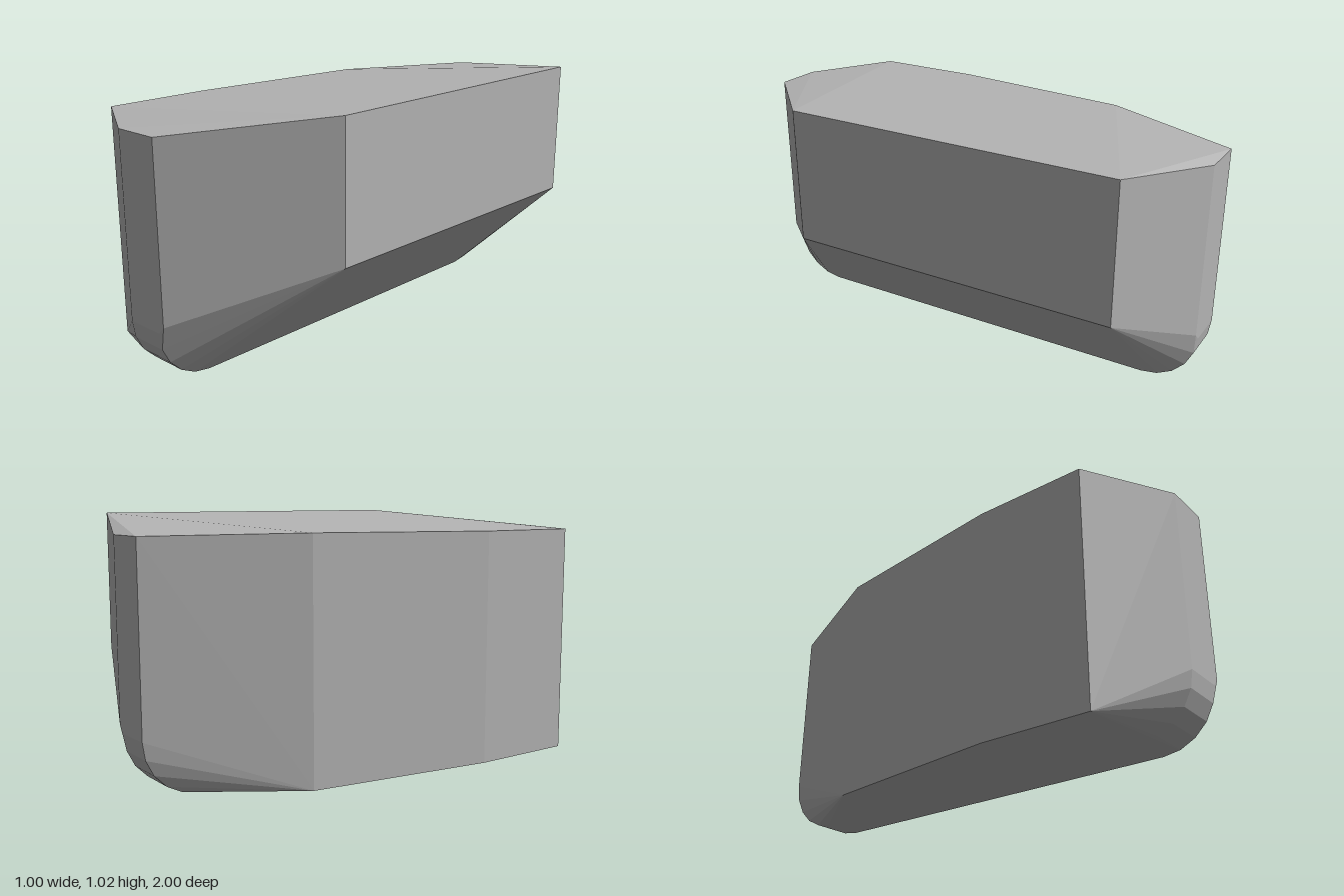
import * as THREE from 'three';
import { ConvexGeometry } from 'three/addons/geometries/ConvexGeometry.js';

export function createModel() {
  const group = new THREE.Group();
  const grey = new THREE.MeshStandardMaterial({ color: 0xb4b4b4 });
  grey.name = 'plain grey';

  const points = [];
  const add = (x, y, z) => points.push(new THREE.Vector3(x, y, z));

  // Tall left wall, standing on the ground
  for (const [x, z, top] of [[-0.5, 0.8, 0.95], [-0.5, 0.35, 0.95], [-0.4, -0.43, 0.957]]) {
    add(x, 0, z);
    add(x, top, z);
  }

  // Short right wall, raised above the sloping underside
  for (const z of [0.54, -0.835]) {
    add(0.5, 0.47, z);
    add(0.5, 1.02, z);
  }

  // Narrow end faces with rounded lower edges
  const radius = 0.22, steps = 5;
  for (const side of [1, -1]) {
    add(-0.155, 0.95, side);
    add(0.04, 0.95, side);
    add(0.04, 0.25, side);
    for (let i = 0; i <= steps; i++) {
      const a = (i / steps) * Math.PI / 2;
      const y = radius * (1 - Math.sin(a));
      const z = side * (1 - radius + radius * Math.cos(a));
      add(-0.155, y, z);
      add(0.01, y, z);
    }
  }

  const body = new THREE.Mesh(new ConvexGeometry(points), grey);
  body.name = 'facetedBody';
  group.add(body);
  return group;
}
